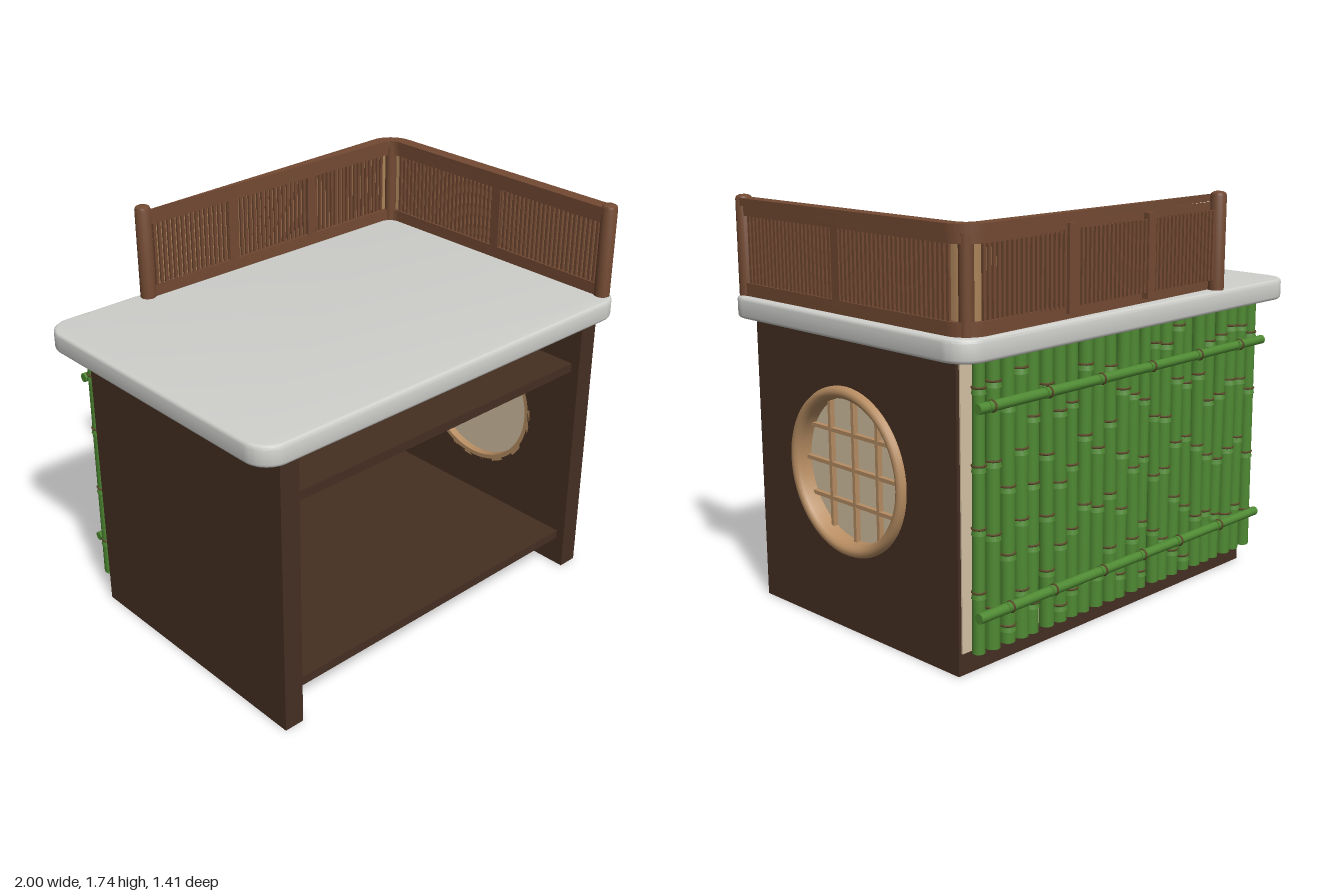
import * as THREE from 'three';
import { toCreasedNormals } from 'three/addons/utils/BufferGeometryUtils.js';

const mat = (name, color, side = THREE.FrontSide) => {
  const m = new THREE.MeshStandardMaterial({ color, side });
  m.name = name;
  return m;
};

export function createModel() {
  const darkWood = mat('darkWood', 0x452e22);
  const railWood = mat('railWood', 0x734a33);
  const slatTan = mat('slatTan', 0xa98258);
  const stone = mat('stone', 0xcfcfcc);
  const frameWood = mat('frameWood', 0xb78d62);
  const paper = mat('paper', 0xd6c2a4, THREE.DoubleSide);
  const green = mat('bambooGreen', 0x4f8a33);
  const nodeBrown = mat('bambooNode', 0x5c4a2a);

  const model = new THREE.Group();
  const add = (name, geo, material, x = 0, y = 0, z = 0, parent = model) => {
    const m = new THREE.Mesh(geo, material);
    m.name = name;
    m.position.set(x, y, z);
    parent.add(m);
    return m;
  };
  const group = (name) => {
    const g = new THREE.Group();
    g.name = name;
    model.add(g);
    return g;
  };
  // box given by its limits on each axis
  const box = (name, material, [x0, x1], [y0, y1], [z0, z1], parent = model) =>
    add(name, new THREE.BoxGeometry(x1 - x0, y1 - y0, z1 - z0), material,
      (x0 + x1) / 2, (y0 + y1) / 2, (z0 + z1) / 2, parent);

  let seed = 7;
  const rand = () => (seed = (seed * 16807) % 2147483647) / 2147483647;

  // counter top with rounded corners and softened edges
  const bevel = 0.015, hw = 1 - bevel, hd = 0.705 - bevel, cr = 0.095;
  const top = new THREE.Shape();
  top.absarc(hw - cr, hd - cr, cr, 0, Math.PI / 2);
  top.absarc(-hw + cr, hd - cr, cr, Math.PI / 2, Math.PI);
  top.absarc(-hw + cr, -hd + cr, cr, Math.PI, Math.PI * 1.5);
  top.absarc(hw - cr, -hd + cr, cr, Math.PI * 1.5, Math.PI * 2);
  const topGeo = new THREE.ExtrudeGeometry(top, {
    depth: 0.09 - 2 * bevel, bevelSize: bevel, bevelThickness: bevel, bevelSegments: 3, curveSegments: 10,
  });
  topGeo.rotateX(Math.PI / 2);
  add('counterTop', toCreasedNormals(topGeo, 0.7), stone, 0, 1.33 - bevel, 0);

  // cabinet: plain side, side with a round opening, back and shelves
  const winY = 0.675, winZ = 0.08;
  box('plainSide', darkWood, [-0.89, -0.8], [0, 1.24], [-0.55, 0.66]);
  const side = new THREE.Shape();
  side.moveTo(-0.66, 0).lineTo(0.55, 0).lineTo(0.55, 1.24).lineTo(-0.66, 1.24).closePath();
  const hole = new THREE.Path();
  hole.absarc(-winZ, winY, 0.32, 0, Math.PI * 2, true);
  side.holes.push(hole);
  const sideGeo = new THREE.ExtrudeGeometry(side, { depth: 0.09, bevelEnabled: false, curveSegments: 24 });
  sideGeo.rotateY(Math.PI / 2);
  add('windowSide', sideGeo, darkWood, 0.8, 0, 0);
  box('backPanel', darkWood, [-0.8, 0.8], [0, 1.24], [-0.55, -0.48]);
  box('lowerShelf', darkWood, [-0.8, 0.8], [0.135, 0.175], [-0.48, 0.62]);
  box('upperShelf', darkWood, [-0.8, 0.8], [1.0, 1.04], [-0.48, 0.62]);
  box('backLining', paper, [-0.875, 0.875], [0.09, 1.24], [-0.556, -0.549]);

  // round window: ring, paper and lattice
  const win = group('roundWindow');
  win.position.set(0.8, winY, winZ);
  const ringGeo = new THREE.LatheGeometry([
    [0.3, 0], [0.33, 0], [0.35, 0.085], [0.35, 0.1], [0.343, 0.114], [0.33, 0.121],
    [0.316, 0.118], [0.305, 0.108], [0.3, 0.095], [0.3, 0],
  ].map(([r, h]) => new THREE.Vector2(r, h)), 64);
  ringGeo.rotateZ(-Math.PI / 2);
  add('windowRing', toCreasedNormals(ringGeo, 0.8), frameWood, 0, 0, 0, win);
  const paperGeo = new THREE.CylinderGeometry(0.305, 0.305, 0.006, 48);
  paperGeo.rotateZ(Math.PI / 2);
  add('windowPaper', paperGeo, paper, 0.04, 0, 0, win);
  for (const o of [-0.145, 0, 0.145]) {
    const len = 2 * Math.sqrt(0.302 ** 2 - o * o);
    add('latticeUpright', new THREE.BoxGeometry(0.025, len, 0.016), frameWood, 0.053, 0, o, win);
    add('latticeCross', new THREE.BoxGeometry(0.02, 0.016, len), frameWood, 0.055, o, 0, win);
  }

  // railing: bands that follow the back and one side round a curved corner
  const rail = group('railing');
  const x0 = -0.505, z1 = 0.64, cx = 0.86, cz = -0.58, r = 0.08;
  const band = (name, material, width, y0, y1) => {
    const a = r + width / 2, b = r - width / 2;
    const s = new THREE.Shape();
    s.moveTo(x0, cz - a);
    s.absarc(cx, cz, a, -Math.PI / 2, 0, false);
    s.lineTo(cx + a, z1);
    s.lineTo(cx + b, z1);
    s.absarc(cx, cz, b, 0, -Math.PI / 2, true);
    s.lineTo(x0, cz - b);
    s.closePath();
    const geo = new THREE.ExtrudeGeometry(s, { depth: y1 - y0, bevelEnabled: false, curveSegments: 10 });
    geo.rotateX(Math.PI / 2);
    add(name, toCreasedNormals(geo, 0.5), material, 0, y1, 0, rail);
  };
  band('topRail', railWood, 0.062, 1.697, 1.728);
  band('upperRail', railWood, 0.045, 1.657, 1.697);
  band('bottomRail', railWood, 0.045, 1.33, 1.383);
  band('railBacking', slatTan, 0.008, 1.38, 1.66);

  // end posts with domed tops, corner post and middle posts
  const postGeo = new THREE.LatheGeometry([
    [0, 0], [0.034, 0], [0.034, 0.395], [0.03, 0.406], [0.018, 0.412], [0, 0.413],
  ].map(([pr, h]) => new THREE.Vector2(pr, h)), 20);
  const post = toCreasedNormals(postGeo, 0.7);
  add('endPost', post, railWood, x0, 1.328, cz - r, rail);
  add('endPost', post, railWood, cx + r, 1.328, z1, rail);
  add('cornerPost', new THREE.CylinderGeometry(0.028, 0.028, 0.36, 16), railWood,
    cx + r * 0.7, 1.515, cz - r * 0.7, rail);
  for (const x of [-0.05, 0.41]) {
    add('middlePost', new THREE.BoxGeometry(0.045, 0.34, 0.045), railWood, x, 1.52, cz - r, rail);
  }
  add('middlePost', new THREE.BoxGeometry(0.045, 0.34, 0.045), railWood, cx + r, 1.52, 0.035, rail);

  // closely set slats
  const pitch = 0.0245;
  const slatGeo = new THREE.BoxGeometry(0.013, 0.29, 0.03);
  for (let x = x0 + 0.045; x < cx + 0.02; x += pitch) add('backSlat', slatGeo, railWood, x, 1.52, cz - r, rail);
  for (let z = z1 - 0.045; z > cz - 0.02; z -= pitch) {
    add('sideSlat', slatGeo, railWood, cx + r, 1.52, z, rail).rotation.y = Math.PI / 2;
  }

  // bamboo cane centred on its own origin, with a ringed joint at intervals
  const cane = (name, len, rad, parent) => {
    const g = new THREE.Group();
    g.name = name;
    parent.add(g);
    add('stem', new THREE.CylinderGeometry(rad * 0.92, rad, len, 12), green, 0, 0, 0, g);
    const ring = new THREE.TorusGeometry(rad * 0.97, 0.005, 6, 14);
    ring.rotateX(Math.PI / 2);
    const swell = new THREE.CylinderGeometry(rad * 0.95, rad * 1.12, 0.022, 12);
    for (let y = -len / 2 + 0.06 + rand() * 0.2; y < len / 2 - 0.03; y += 0.22 + rand() * 0.1) {
      add('joint', ring, nodeBrown, 0, y, 0, g);
      add('jointSwell', swell, green, 0, y - 0.014, 0, g);
    }
    return g;
  };

  // bamboo screen on the back: upright canes tied by two cross canes
  const screen = group('bambooScreen');
  const count = 24;
  for (let i = 0; i < count; i++) {
    const c = cane('uprightCane', 1.14, 0.026 + rand() * 0.007, screen);
    c.position.set(0.835 - (i * 1.67) / (count - 1) + (rand() - 0.5) * 0.02, 0.67, -0.603);
    c.rotation.z = (rand() - 0.5) * 0.035;
  }
  for (const y of [0.265, 1.063]) {
    const c = cane('crossCane', 1.75, 0.021, screen);
    c.position.set(0.01, y, -0.655);
    c.rotation.z = Math.PI / 2;
  }
  return model;
}
